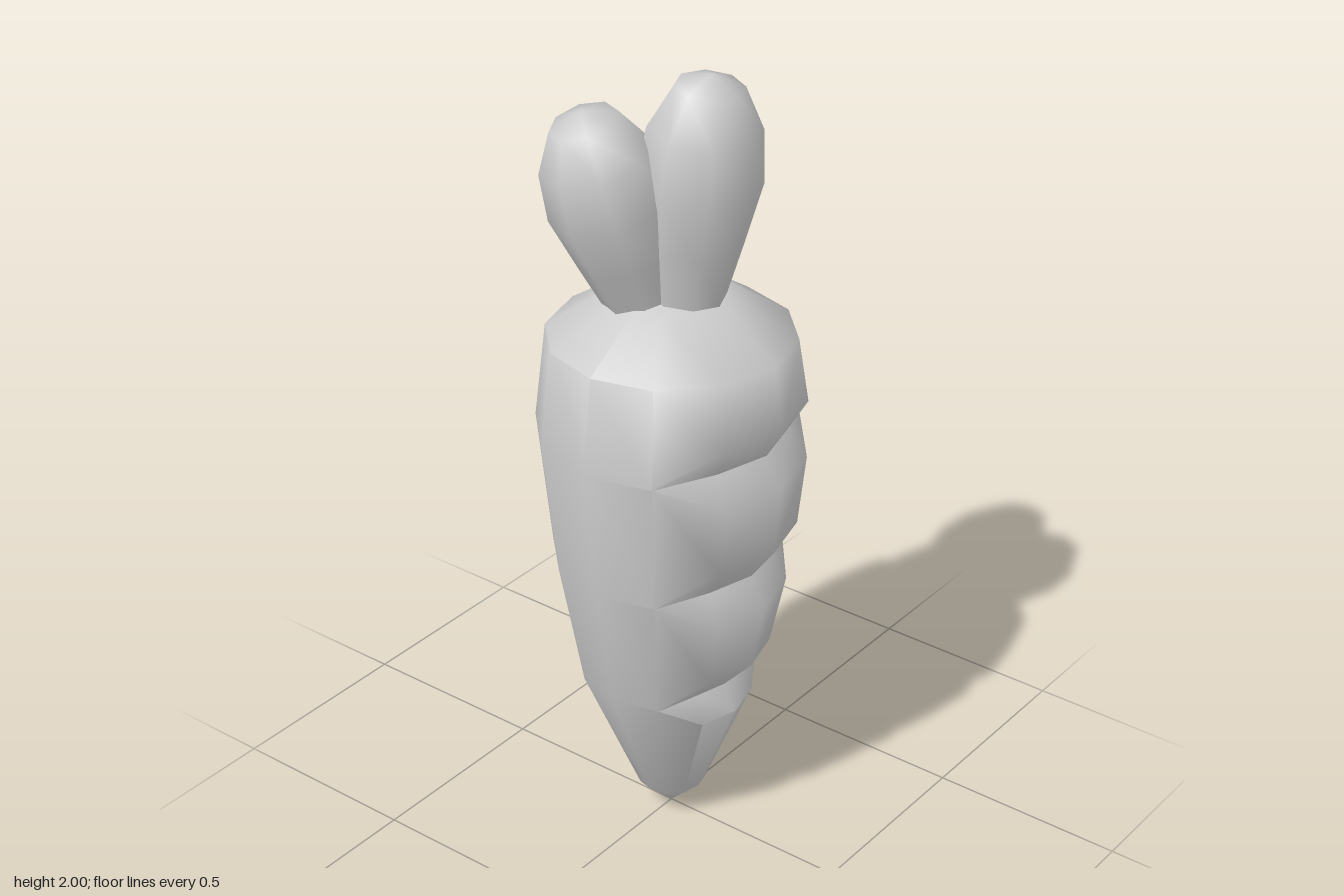
import * as THREE from 'three';
import { mergeVertices, toCreasedNormals } from 'three/addons/utils/BufferGeometryUtils.js';

const SIDES = 12;

// Body rings, bottom to top: [radius, height, front radius, front height].
// The front values move only the three front columns, cutting the grooves.
const RINGS = [
  [0, 0], [0.085, 0.08],
  [0.23, 0.43, 0.2, 0.36], [0.23, 0.43, 0.165, 0.425], [0.23, 0.43, 0.243, 0.51],
  [0.29, 0.76, 0.28, 0.69], [0.29, 0.76, 0.24, 0.765], [0.29, 0.76, 0.303, 0.85],
  [0.325, 1.1, 0.322, 1.03], [0.325, 1.1, 0.277, 1.105], [0.325, 1.1, 0.322, 1.18],
  [0.297, 1.34], [0.13, 1.45], [0, 1.465],
];

function bodyGeometry() {
  const point = (ring, column) => {
    const [r, y, fr = r, fy = y] = ring;
    const c = column % SIDES;
    const front = c <= 1 || c === SIDES - 1;
    const a = (c / SIDES) * Math.PI * 2;
    const radius = front ? fr : r;
    return new THREE.Vector3(radius * Math.sin(a), front ? fy : y, radius * Math.cos(a));
  };
  const points = [];
  const addTriangle = (a, b, c) => {
    // Skip the collapsed triangles where rings meet
    const area = b.clone().sub(a).cross(c.clone().sub(a)).length();
    if (area > 1e-7) points.push(a, b, c);
  };
  for (let i = 0; i < RINGS.length - 1; i++) {
    for (let j = 0; j < SIDES; j++) {
      const a = point(RINGS[i], j), b = point(RINGS[i], j + 1);
      const c = point(RINGS[i + 1], j + 1), d = point(RINGS[i + 1], j);
      // Mirror the diagonals about the middle of the front
      if (j < SIDES / 2) {
        addTriangle(a, b, c);
        addTriangle(a, c, d);
      } else {
        addTriangle(a, b, d);
        addTriangle(b, c, d);
      }
    }
  }
  const geometry = mergeVertices(new THREE.BufferGeometry().setFromPoints(points));
  return toCreasedNormals(geometry, 0.95);
}

// Egg-shaped leaf: [radius, fraction of length]
const LEAF_PROFILE = [
  [0, 0], [0.088, 0.02], [0.118, 0.28], [0.146, 0.54],
  [0.132, 0.77], [0.08, 0.95], [0, 1],
];

function makeLeaf(name, base, tip, material) {
  const start = new THREE.Vector3(...base);
  const axis = new THREE.Vector3(...tip).sub(start);
  const length = axis.length();
  const profile = LEAF_PROFILE.map(([r, t]) => new THREE.Vector2(r, t * length));
  const geometry = toCreasedNormals(new THREE.LatheGeometry(profile, 8), 1.05);
  const leaf = new THREE.Mesh(geometry, material);
  leaf.name = name;
  leaf.position.copy(start);
  leaf.quaternion.setFromUnitVectors(new THREE.Vector3(0, 1, 0), axis.normalize());
  return leaf;
}

export function createModel() {
  const group = new THREE.Group();
  group.name = 'carrot';
  const grey = new THREE.MeshStandardMaterial({ color: 0xcccccc });
  grey.name = 'plain grey';

  const body = new THREE.Mesh(bodyGeometry(), grey);
  body.name = 'carrotRoot';
  group.add(body);

  // Three leaves fanning out of the crown
  group.add(
    makeLeaf('frontLeaf', [0, 1.43, 0.045], [0, 2.0, 0.11], grey),
    makeLeaf('rightLeaf', [-0.05, 1.42, -0.04], [-0.19, 1.92, -0.105], grey),
    makeLeaf('leftLeaf', [0.085, 1.41, -0.045], [0.245, 1.85, -0.07], grey),
  );
  return group;
}
